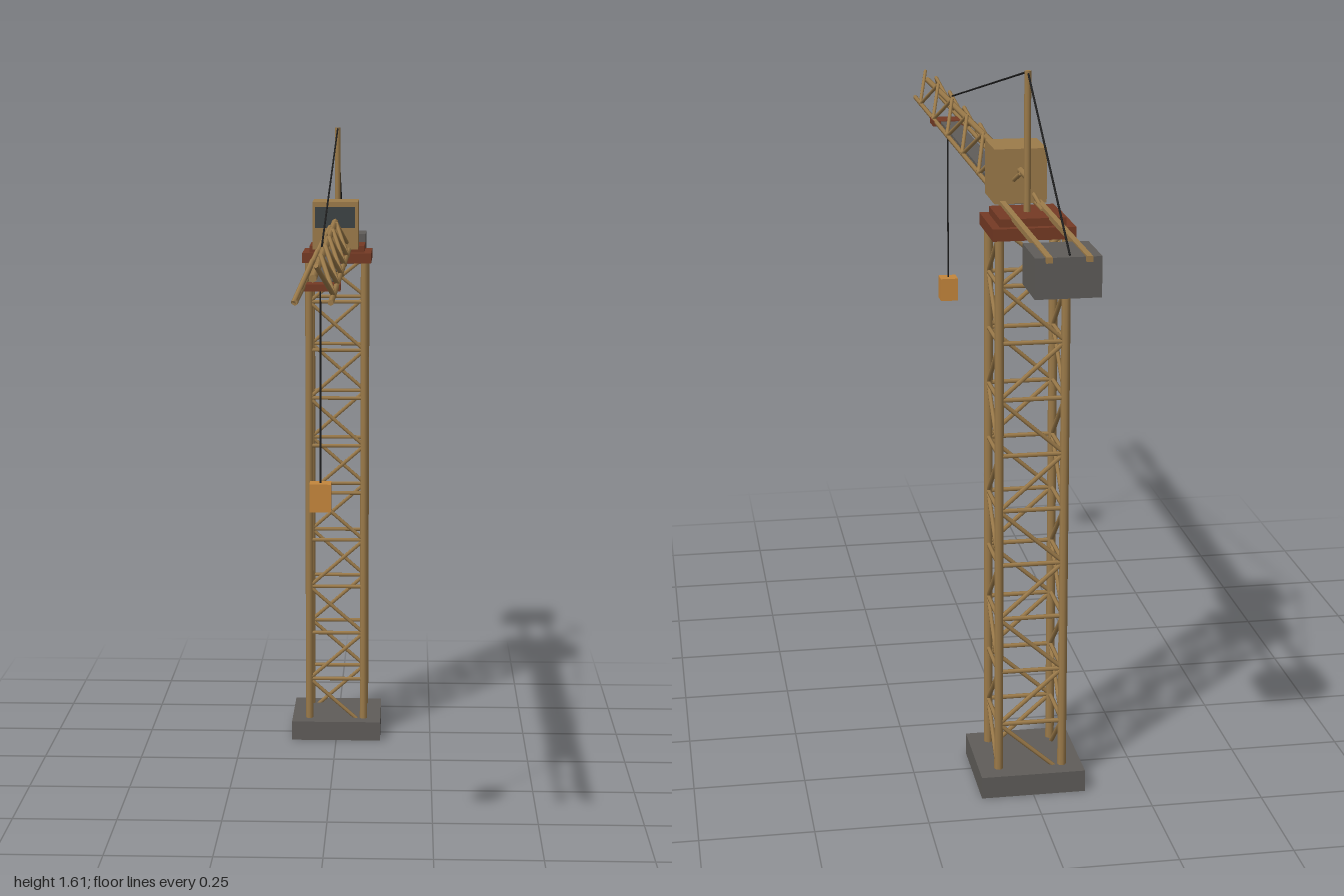
import * as THREE from 'three';
import { mergeGeometries } from 'three/addons/utils/BufferGeometryUtils.js';

const mat = (name, color) => {
  const m = new THREE.MeshStandardMaterial({ color });
  m.name = name;
  return m;
};

export function createModel() {
  const crane = new THREE.Group();
  crane.name = 'towerCrane';
  const tan = mat('tanPaint', 0x9c7b4a);
  const concrete = mat('concreteGrey', 0x5f5c59);
  const rust = mat('rustRed', 0x753a24);
  const glass = mat('darkGlass', 0x3d4344);
  const steel = mat('darkCable', 0x1e1e1e);
  const orange = mat('orangeLoad', 0xc4863c);
  const TZ = -0.537; // tower centre

  const add = (name, geo, material) => {
    const m = new THREE.Mesh(geo, material);
    m.name = name;
    crane.add(m);
    return m;
  };
  const box = (name, w, h, d, x, y, z, material) =>
    add(name, new THREE.BoxGeometry(w, h, d).translate(x, y, z), material);

  // Round bar between two points
  const bar = (a, b, r, sides = 6) => {
    const p = new THREE.Vector3(...a), q = new THREE.Vector3(...b);
    const dir = q.clone().sub(p);
    const turn = new THREE.Quaternion().setFromUnitVectors(
      new THREE.Vector3(0, 1, 0), dir.clone().normalize());
    const g = new THREE.CylinderGeometry(r, r, dir.length(), sides);
    g.applyQuaternion(turn);
    return g.translate(...p.add(q).multiplyScalar(0.5).toArray());
  };

  // Foundation and slewing ring
  box('foundation', 0.234, 0.05, 0.234, 0, 0.025, TZ, concrete);
  box('slewingRing', 0.178, 0.026, 0.178, 0, 1.279, TZ, rust);
  box('slewingPlate', 0.142, 0.018, 0.142, 0, 1.3, TZ, rust);

  // Lattice tower: four legs, rungs and a zigzag brace on each side
  const S = 0.072, y0 = 0.031, step = 0.126, legs = [], rungs = [], braces = [];
  const corners = [[-S, -S], [S, -S], [S, S], [-S, S]];
  corners.forEach(([x, z], i) => {
    const [u, w] = corners[(i + 1) % 4];
    legs.push(bar([x, 0.04, TZ + z], [x, 1.28, TZ + z], 0.01, 8));
    for (let k = 0; k < 10; k++) {
      const lo = y0 + k * step, hi = Math.min(lo + step, 1.28);
      if (k) rungs.push(bar([x, lo, TZ + z], [u, lo, TZ + w], 0.005));
      const [a, b] = k % 2 ? [hi, lo] : [lo, hi];
      braces.push(bar([x, a, TZ + z], [u, b, TZ + w], 0.005));
    }
  });
  add('towerLegs', mergeGeometries(legs), tan);
  add('towerRungs', mergeGeometries(rungs), tan);
  add('towerBraces', mergeGeometries(braces), tan);

  // Jib: triangular truss with two bottom chords and one top chord
  const W = 0.035, yb = 1.31, z0 = -0.49, z1 = 1, n = 12, dz = (z1 - z0) / n;
  const chords = [bar([0, 1.384, TZ], [0, 1.357, z1], 0.008)], web = [];
  for (const s of [-1, 1]) {
    chords.push(bar([s * W, yb, TZ], [s * W, yb, z1], 0.006));
    for (let i = 0; i < n; i++) {
      const up = (i + (s > 0 ? 1 : 0)) % 2;
      const node = (high, z) => high ? [s * 0.006, 1.382, z] : [s * 0.038, yb, z];
      web.push(bar(node(up, z0 + i * dz), node(!up, z0 + (i + 1) * dz), 0.005));
    }
  }
  add('jibChords', mergeGeometries(chords), tan);
  add('jibWeb', mergeGeometries(web), tan);
  box('jibWalkway', 0.046, 0.006, 1.03, 0, 1.308, 0.075, concrete);

  // Counter-jib with its weight
  add('counterJibBeams', mergeGeometries([-1, 1].map((s) =>
    new THREE.BoxGeometry(0.012, 0.012, 0.56).translate(s * 0.04, 1.311, -0.72))), tan);
  box('counterweight', 0.134, 0.083, 0.135, 0, 1.272, -0.921, concrete);

  // Cab with front window
  box('cab', 0.115, 0.12, 0.125, 0, 1.37, -0.3955, tan);
  box('cabWindow', 0.1, 0.052, 0.006, 0, 1.391, -0.331, glass);

  // Mast head and stay cables
  add('mastHead', bar([0, 1.3, TZ], [0, 1.61, TZ], 0.0075, 8), tan);
  add('stayCables', mergeGeometries([
    bar([0, 1.608, TZ], [0, 1.385, 0.54], 0.0022),
    bar([0, 1.608, TZ], [0, 1.32, -0.998], 0.0022),
  ]), steel);

  // Trolley, hoist cable and load
  box('trolley', 0.086, 0.014, 0.064, 0, 1.306, 0.62, rust);
  add('hoistCable', bar([0, 0.88, 0.625], [0, 1.303, 0.625], 0.0022), steel);
  box('load', 0.046, 0.06, 0.046, 0, 0.856, 0.625, orange);

  return crane;
}
